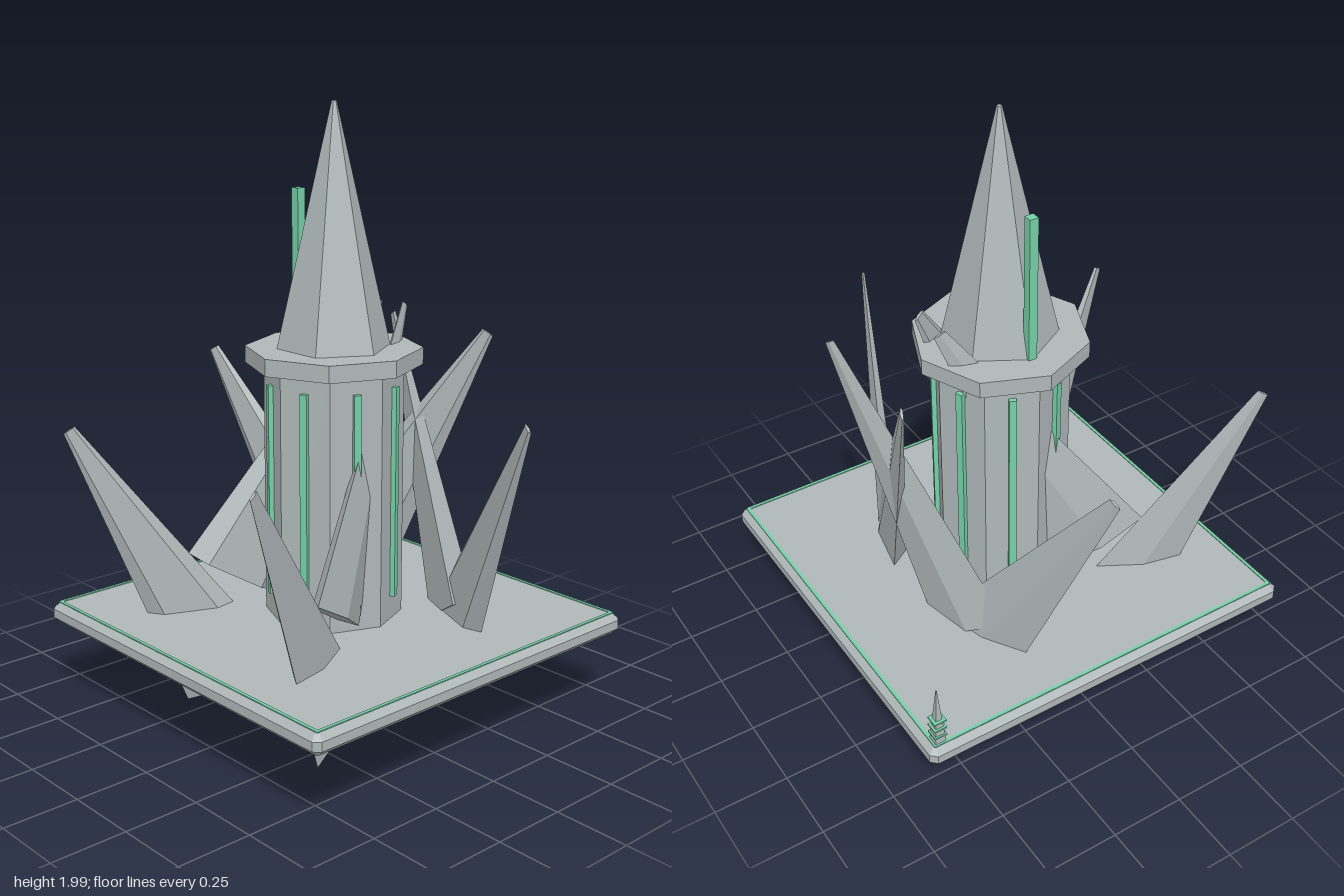
import * as THREE from 'three';

const CX = 0.025; // tower axis

export function createModel() {
  const model = new THREE.Group();
  const stone = new THREE.MeshStandardMaterial({ color: 0xb0b8b9 });
  stone.name = 'palestone';
  const glow = new THREE.MeshStandardMaterial({ color: 0x76d0a8 });
  glow.name = 'greenTrim';

  // Adds a faceted mesh
  function add(name, geometry, material, x = 0, y = 0, z = 0) {
    const g = geometry.index ? geometry.toNonIndexed() : geometry;
    g.computeVertexNormals();
    const mesh = new THREE.Mesh(g, material);
    mesh.name = name;
    mesh.position.set(x, y, z);
    model.add(mesh);
    return mesh;
  }

  // Square outline with clipped corners
  function square(Type, h, c) {
    const p = [[-h + c, -h], [h - c, -h], [h, -h + c], [h, h - c], [h - c, h], [-h + c, h], [-h, h - c], [-h, -h + c]];
    return new Type(p.map(([x, y]) => new THREE.Vector2(x, y)));
  }

  // Bevelled base plate
  const plate = new THREE.ExtrudeGeometry(square(THREE.Shape, 0.655, 0.008), {
    depth: 0.03, bevelEnabled: true, bevelSize: 0.02, bevelThickness: 0.02, bevelSegments: 1,
  });
  add('basePlate', plate.rotateX(-Math.PI / 2), stone, CX, 0.29, 0);

  // Thin green border on the plate
  const border = square(THREE.Shape, 0.655, 0.004);
  border.holes.push(square(THREE.Path, 0.644, 0.004));
  const borderGeo = new THREE.ExtrudeGeometry(border, { depth: 0.004, bevelEnabled: false });
  add('plateBorder', borderGeo.rotateX(-Math.PI / 2), glow, CX, 0.339, 0);

  // Octagonal tower, ledge and six-sided spire
  add('tower', new THREE.CylinderGeometry(0.225, 0.225, 0.86, 8), stone, CX, 0.76, 0);
  add('ledge', new THREE.CylinderGeometry(0.285, 0.285, 0.055, 8), stone, CX, 1.203, 0);
  add('spire', new THREE.CylinderGeometry(0.008, 0.185, 0.77, 6), stone, CX, 1.615, 0);

  // Light strip on each tower face
  for (let i = 0; i < 8; i++) {
    const a = (i + 0.5) * Math.PI / 4;
    const strip = add('lightStrip', new THREE.BoxGeometry(0.024, 0.7, 0.024), glow,
      CX + Math.sin(a) * 0.212, 0.77, Math.cos(a) * 0.212);
    strip.rotation.y = a;
  }

  // Mast behind the spire
  add('mast', new THREE.BoxGeometry(0.03, 0.5, 0.03), glow, CX, 1.47, -0.17);

  // Small beacon in the back corner, with three rings
  const beacon = new THREE.CylinderGeometry(0.002, 0.026, 0.21, 4).rotateY(Math.PI / 4);
  add('beacon', beacon, stone, 0.655, 0.445, -0.63);
  for (const y of [0.37, 0.4, 0.43]) {
    add('beaconRing', new THREE.BoxGeometry(0.042, 0.006, 0.042), glow, 0.655, y, -0.63);
  }

  // Flat tapering shard from base to tip, its ridge facing away from the tower
  function shard(base, tip) {
    const b = new THREE.Vector3(...base), t = new THREE.Vector3(...tip);
    const axis = t.clone().sub(b);
    const length = axis.length();
    axis.normalize();
    const out = new THREE.Vector3().crossVectors(axis, new THREE.Vector3(0, 1, 0)).normalize();
    if (out.x * (b.x - CX) + out.z * b.z < 0) out.negate();
    const side = new THREE.Vector3().crossVectors(axis, out);
    const geo = new THREE.CylinderGeometry(0.022, 0.177, length, 5).scale(1, 1, 0.25);
    const mesh = add('shard', geo, stone);
    mesh.quaternion.setFromRotationMatrix(new THREE.Matrix4().makeBasis(side, axis, out));
    mesh.position.copy(b).add(t).multiplyScalar(0.5);
  }

  // Four crossing shards on each side of the plate
  for (const s of [1, -1]) {
    shard([-0.21, 0.09, 0.263 * s], [-0.685, 0.99, 0.455 * s]);
    shard([-0.2, 0.447, 0.255 * s], [0.278, 1.345, 0.062 * s]);
    shard([0.315, 0.19, 0.245 * s], [0.115, 1.092, 0.74 * s]);
    shard([0.305, 0.34, 0.273 * s], [0.505, 1.243, -0.222 * s]);
  }

  return model;
}
